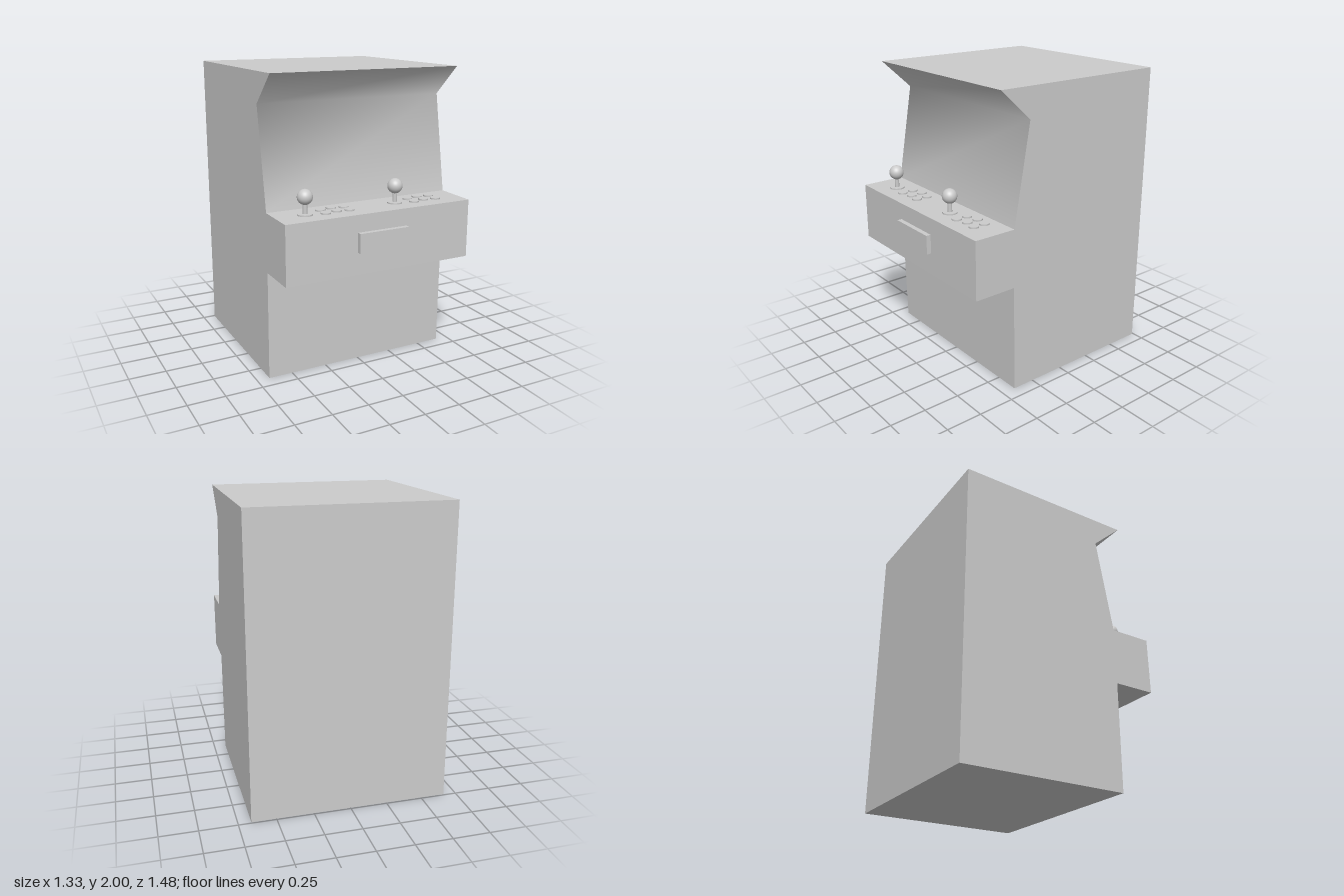
import * as THREE from 'three';
import { toCreasedNormals } from 'three/addons/utils/BufferGeometryUtils.js';

const DECK_Y = 1.135;

export function createModel() {
  const model = new THREE.Group();
  model.name = 'arcadeCabinet';
  const grey = new THREE.MeshStandardMaterial({ color: 0xcccccc });

  function add(parent, name, geometry, x = 0, y = 0, z = 0) {
    const mesh = new THREE.Mesh(geometry, grey);
    mesh.name = name;
    mesh.position.set(x, y, z);
    parent.add(mesh);
  }

  // Cabinet: side profile as (z, y), extruded across the width
  const profile = [
    [-0.74, 0], [0.405, 0], [0.415, 0.74], [0.71, 0.74], [0.71, DECK_Y],
    [0.415, DECK_Y], [0.3, 1.8], [0.52, 2], [-0.74, 2],
  ].map(([z, y]) => new THREE.Vector2(z, y));
  const body = new THREE.ExtrudeGeometry(new THREE.Shape(profile), { depth: 1.33, bevelEnabled: false });
  body.translate(0, 0, -0.665).rotateY(-Math.PI / 2);
  // Screen and hood blend smoothly; every other edge stays sharp
  add(model, 'cabinet', toCreasedNormals(body, 1.1));

  // Plate on the front of the control deck
  add(model, 'frontPlate', new THREE.BoxGeometry(0.355, 0.13, 0.04), 0.003, 0.955, 0.722);

  // Control sets: one joystick and six buttons per player
  const base = new THREE.CylinderGeometry(0.05, 0.05, 0.012, 32);
  const shaft = new THREE.CylinderGeometry(0.015, 0.015, 0.1, 20);
  const ball = new THREE.SphereGeometry(0.05, 32, 20);
  const button = new THREE.CylinderGeometry(0.033, 0.033, 0.015, 28);
  const columns = [[0.127, 0.593], [0.213, 0.574], [0.298, 0.586]];

  for (const [name, x, z] of [['rightControls', -0.467, 0.562], ['leftControls', 0.182, 0.557]]) {
    const controls = new THREE.Group();
    controls.name = name;
    controls.position.set(x, DECK_Y, 0);
    add(controls, 'joystickBase', base, 0, 0.003, z);
    add(controls, 'joystickShaft', shaft, 0, 0.05, z);
    add(controls, 'joystickBall', ball, 0, 0.115, z);
    for (const [dx, frontZ] of columns) {
      for (const back of [0, 0.08]) add(controls, 'button', button, dx, 0.003, frontZ - back);
    }
    model.add(controls);
  }
  return model;
}
